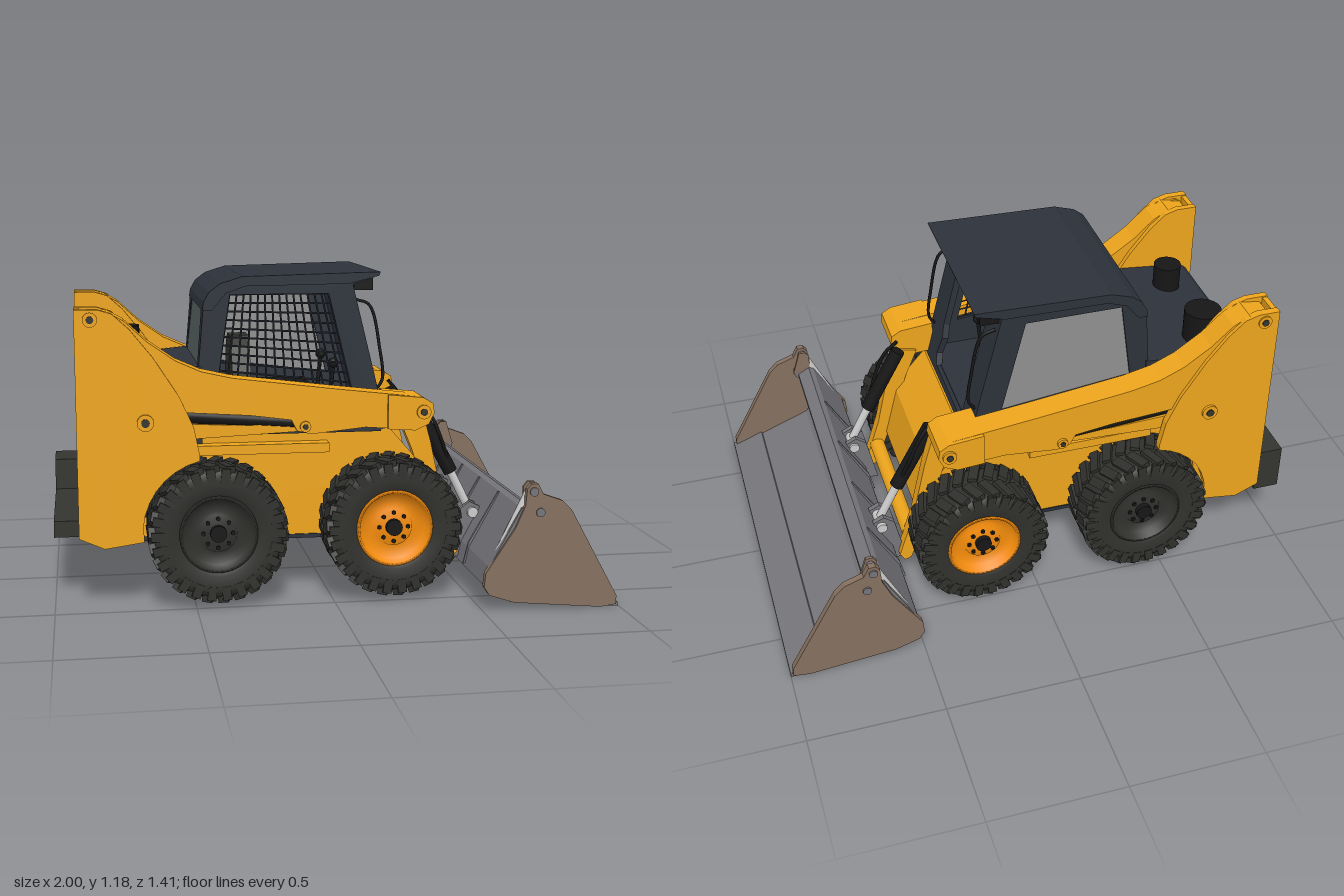
import * as THREE from 'three';
import { mergeGeometries } from 'three/addons/utils/BufferGeometryUtils.js';

const mat = (color) => new THREE.MeshStandardMaterial({ color, side: THREE.DoubleSide });
const yellow = mat(0xeea51c), navy = mat(0x2d323b), black = mat(0x161616), rubber = mat(0x30302d);
const steel = mat(0x76757a), brown = mat(0x85705f), chrome = mat(0xcccccc), orange = mat(0xf48c0c);
const glass = mat(0x56605f), pane = mat(0x909090), red = mat(0xa01c24), charcoal = mat(0x34342f);
const V = (x, y, z) => new THREE.Vector3(x, y, z);

export function createModel() {
  const root = new THREE.Group();
  const add = (name, geo, m, parent = root) => {
    const mesh = new THREE.Mesh(geo, m);
    mesh.name = name;
    parent.add(mesh);
    return mesh;
  };
  const poly = (pts, hole) => {
    const s = new THREE.Shape(pts.map((p) => new THREE.Vector2(...p)));
    if (hole) s.holes.push(new THREE.Path(hole.map((p) => new THREE.Vector2(...p))));
    return s;
  };
  // Side outline (x, y) extruded from z0 to z1
  const slab = (pts, z0, z1, hole) =>
    new THREE.ExtrudeGeometry(poly(pts, hole), { depth: z1 - z0, bevelEnabled: false }).translate(0, 0, z0);
  const box = (x0, x1, y0, y1, z0, z1) =>
    new THREE.BoxGeometry(x1 - x0, y1 - y0, z1 - z0).translate((x0 + x1) / 2, (y0 + y1) / 2, (z0 + z1) / 2);
  // Round bar between two points
  const rod = (a, b, r, sides = 16) => {
    const d = b.clone().sub(a);
    const g = new THREE.CylinderGeometry(r, r, d.length(), sides);
    g.applyQuaternion(new THREE.Quaternion().setFromUnitVectors(V(0, 1, 0), d.normalize()));
    return g.translate((a.x + b.x) / 2, (a.y + b.y) / 2, (a.z + b.z) / 2);
  };
  const span = (s, a, b) => [Math.min(s * a, s * b), Math.max(s * a, s * b)];

  // Chassis
  add('body', slab([[-0.86, 0.24], [-0.6, 0.21], [0.36, 0.21], [0.41, 0.26], [0.36, 0.46], [0.23, 0.61], [-0.86, 0.61]], -0.315, 0.315), yellow);
  add('bellyPlate', slab([[-0.88, 0.24], [-0.6, 0.2], [0.36, 0.2], [0.36, 0.215], [-0.6, 0.215], [-0.88, 0.26]], -0.32, 0.32), navy);
  add('cabSill', box(-0.5, 0.2, 0.595, 0.635, -0.325, 0.325), navy);
  add('frontCrossMember', rod(V(0.45, 0.2, -0.28), V(0.45, 0.2, 0.28), 0.03), yellow);

  // Engine bay, grille and rear lights
  add('engineHood', slab([[-0.885, 0.3], [-0.885, 0.79], [-0.86, 0.81], [-0.46, 0.85], [-0.46, 0.3]], -0.325, 0.325), navy);
  add('grillePanel', box(-0.895, -0.88, 0.36, 0.67, -0.27, 0.27), black);
  for (let i = 0; i < 7; i++) add('grilleLouvre', box(-0.908, -0.89, 0.38 + i * 0.042, 0.395 + i * 0.042, -0.26, 0.26), navy);
  for (const s of [-1, 1]) {
    add('tailLight', box(-0.9, -0.88, 0.705, 0.755, ...span(s, 0.22, 0.29)), red);
    add('reverseLight', box(-0.9, -0.88, 0.705, 0.755, ...span(s, 0.13, 0.2)), chrome);
  }
  add('airCleaner', rod(V(-0.73, 0.8, -0.2), V(-0.73, 0.95, -0.2), 0.07, 24), black);
  add('exhaustStack', rod(V(-0.74, 0.8, 0.18), V(-0.74, 0.92, 0.18), 0.053, 24), black);
  add('rearBumper', box(-1, -0.82, 0.23, 0.29, -0.3, 0.3), charcoal);
  add('bumperBlock', slab([[-1, 0.23], [-0.9, 0.23], [-0.9, 0.41], [-1, 0.41]], -0.455, -0.27), charcoal);

  // Wheels
  const tyreProfile = [[0.135, -0.085], [0.15, -0.095], [0.2, -0.1], [0.226, -0.09], [0.236, -0.07], [0.236, 0.07], [0.226, 0.09], [0.2, 0.1], [0.15, 0.095], [0.135, 0.085]];
  const rimProfile = [[0.0, -0.08], [0.136, -0.08], [0.14, 0.09], [0.128, 0.09], [0.118, 0.06], [0.075, 0.045], [0.068, 0.065], [0, 0.065]];
  const lathe = (p) => new THREE.LatheGeometry(p.map((q) => new THREE.Vector2(...q)), 48).rotateX(Math.PI / 2);
  const treads = [];
  for (let i = 0; i < 26; i++) for (const s of [-1, 1]) {
    const a = ((i + (s > 0 ? 0.5 : 0)) / 26) * Math.PI * 2;
    treads.push(new THREE.BoxGeometry(0.036, 0.026, 0.088).rotateY(s * 0.4).translate(0, 0.236, s * 0.05).rotateZ(a));
    treads.push(new THREE.BoxGeometry(0.032, 0.05, 0.012).translate(0, 0.215, s * 0.095).rotateZ(a));
  }
  const treadGeo = mergeGeometries(treads), tyreGeo = lathe(tyreProfile), rimGeo = lathe(rimProfile);
  for (const s of [-1, 1]) for (const [x, name, rimMat] of [[-0.42, 'rearWheel', rubber], [0.217, 'frontWheel', orange]]) {
    const w = new THREE.Group();
    w.name = name;
    w.position.set(x, 0.27, s * 0.42);
    if (s < 0) w.rotation.y = Math.PI;
    add('tyre', tyreGeo, rubber, w);
    add('tread', treadGeo, rubber, w);
    add('rim', rimGeo, rimMat, w);
    add('hub', rod(V(0, 0, 0.05), V(0, 0, 0.085), 0.03), black, w);
    for (let i = 0; i < 8; i++) {
      const a = (i / 8) * Math.PI * 2, cx = Math.cos(a) * 0.053, cy = Math.sin(a) * 0.053;
      add('wheelNut', rod(V(cx, cy, 0.05), V(cx, cy, 0.073), 0.008, 6), black, w);
    }
    add('axle', rod(V(0, 0, -0.13), V(0, 0, 0), 0.07), black, w);
    root.add(w);
  }

  // Towers, lift arms and hydraulics, mirrored on both sides
  const arch = [];
  for (let i = 0; i <= 8; i++) {
    const a = THREE.MathUtils.degToRad(103 + i * 10.5);
    arch.push([-0.42 + 0.265 * Math.cos(a), 0.27 + 0.265 * Math.sin(a)]);
  }
  const tower = [[-0.91, 0.26], [-0.91, 1.07], [-0.83, 1.07], [-0.78, 1.055], [-0.72, 1.0], [-0.64, 0.9], [-0.55, 0.76], [-0.5, 0.65], [-0.48, 0.55], ...arch, [-0.68, 0.24], [-0.82, 0.22]];
  const arm = [[-0.88, 1.05], [-0.8, 1.062], [-0.74, 1.03], [-0.66, 0.955], [-0.56, 0.885], [-0.47, 0.845], [-0.36, 0.82], [0, 0.775], [0.33, 0.737], [0.365, 0.715], [0.37, 0.68], [0.35, 0.64], [0.3, 0.618], [0.12, 0.632], [-0.08, 0.612], [-0.13, 0.625], [-0.15, 0.665], [-0.3, 0.685], [-0.52, 0.7], [-0.66, 0.78], [-0.86, 0.98]];
  for (const s of [-1, 1]) {
    add('tower', slab(tower, ...span(s, 0.43, 0.46)), yellow);
    add('towerInnerPlate', slab(tower, ...span(s, 0.325, 0.35)), yellow);
    add('towerBackPlate', box(-0.91, -0.89, 0.27, 1.065, ...span(s, 0.33, 0.455)), yellow);
    add('liftArm', slab(arm, ...span(s, 0.345, 0.445)), yellow);
    add('armNose', slab([[0.2, 0.75], [0.33, 0.737], [0.365, 0.715], [0.37, 0.68], [0.35, 0.64], [0.3, 0.618], [0.2, 0.625]], ...span(s, 0.285, 0.46)), yellow);
    add('lowerLink', slab([[-0.52, 0.6], [-0.52, 0.655], [-0.3, 0.645], [-0.1, 0.65], [-0.09, 0.62], [-0.3, 0.61]], ...span(s, 0.36, 0.42)), yellow);
    add('liftCylinder', rod(V(-0.56, 0.685, s * 0.4), V(-0.12, 0.65, s * 0.4), 0.026), black);
    add('sideLedge', box(-0.48, 0.0, 0.53, 0.565, ...span(s, 0.3, 0.37)), yellow);
    add('armLeg', slab([[0.27, 0.64], [0.36, 0.66], [0.39, 0.55], [0.44, 0.32], [0.5, 0.13], [0.48, 0.1], [0.455, 0.11], [0.38, 0.32], [0.32, 0.52]], ...span(s, 0.275, 0.32)), yellow);
    for (const [x, y, r, z] of [[-0.855, 1.035, 0.026, 0.465], [-0.67, 0.67, 0.03, 0.47], [-0.1, 0.64, 0.02, 0.455], [0.33, 0.685, 0.026, 0.47]]) {
      add('pivotPin', rod(V(x, y, s * 0.42), V(x, y, s * z), r), yellow);
      add('pinCap', rod(V(x, y, s * z), V(x, y, s * (z + 0.004)), r * 0.5), charcoal);
    }
    // Tilt cylinder and bucket coupler
    add('tiltCylinder', rod(V(0.35, 0.67, s * 0.25), V(0.485, 0.42, s * 0.25), 0.027), black);
    add('tiltRod', rod(V(0.485, 0.42, s * 0.25), V(0.56, 0.27, s * 0.25), 0.016), chrome);
    add('tiltHose', new THREE.TubeGeometry(new THREE.CatmullRomCurve3([V(0.35, 0.7, s * 0.27), V(0.4, 0.64, s * 0.285), V(0.44, 0.55, s * 0.285), V(0.48, 0.44, s * 0.26)]), 16, 0.007, 6), black);
    for (const z of [0.21, 0.285])
      add('couplerPlate', slab([[0.47, 0.1], [0.51, 0.28], [0.55, 0.31], [0.59, 0.29], [0.6, 0.24], [0.53, 0.1]], ...span(s, z - 0.01, z + 0.01)), steel);
    add('couplerPin', rod(V(0.56, 0.27, s * 0.19), V(0.56, 0.27, s * 0.31), 0.02), chrome);
  }

  // Bucket
  add('bucketShell', slab([[0.99, 0], [0.995, 0.015], [0.87, 0.055], [0.68, 0.13], [0.645, 0.17], [0.65, 0.26], [0.7, 0.335], [0.7, 0.355], [0.655, 0.38], [0.635, 0.37], [0.52, 0.16], [0.505, 0.09], [0.6, 0.03]], -0.69, 0.69), steel);
  add('cuttingEdge', slab([[1, 0], [1, 0.012], [0.88, 0.06], [0.87, 0.045], [0.9, 0.005]], -0.695, 0.695), steel);
  const side = [[0.65, 0.44], [0.665, 0.458], [0.69, 0.458], [0.71, 0.42], [0.78, 0.395], [0.815, 0.36], [0.99, 0.04], [0.99, 0.008], [0.93, 0], [0.61, 0.03], [0.52, 0.06], [0.5, 0.09], [0.505, 0.14], [0.61, 0.3], [0.645, 0.38]];
  for (const s of [-1, 1]) {
    add('bucketSide', slab(side, ...span(s, 0.675, 0.7)), brown);
    add('bucketEar', slab([[0.65, 0.36], [0.65, 0.44], [0.665, 0.458], [0.69, 0.458], [0.72, 0.36]], ...span(s, 0.64, 0.652)), brown);
    add('bucketCylinder', rod(V(0.675, 0.43, s * 0.663), V(0.56, 0.19, s * 0.663), 0.02), chrome);
    for (const [x, y] of [[0.675, 0.43], [0.7, 0.355]]) add('bucketPin', rod(V(x, y, s * 0.64), V(x, y, s * 0.706), 0.016), steel);
  }
  for (const z of [-0.4, -0.13, 0.13, 0.4]) add('bucketRib', slab([[0.5, 0.1], [0.52, 0.18], [0.63, 0.37], [0.66, 0.36], [0.55, 0.12]], z - 0.006, z + 0.006), steel);

  // Cab shell
  const win = [[-0.355, 1.105], [0.005, 1.105], [0.095, 0.74], [-0.4, 0.8]];
  const wall = [[-0.47, 0.61], [-0.48, 0.74], [-0.45, 1.07], [-0.39, 1.14], [-0.31, 1.165], [0.08, 1.165], [0.215, 0.61]];
  for (const s of [-1, 1]) add('cabSide', slab(wall, ...span(s, 0.295, 0.32), win), navy);
  add('cabRoof', slab([[-0.455, 1.05], [-0.45, 1.08], [-0.43, 1.115], [-0.39, 1.145], [-0.31, 1.17], [0.195, 1.182], [0.19, 1.168], [0.08, 1.14], [-0.3, 1.135], [-0.37, 1.11], [-0.42, 1.05]], -0.325, 0.325), navy);
  // Wall across the cab with a cut-out; outline is (z, height)
  const crossWall = (name, h, hole, x, y, lean) => {
    const g = new THREE.ExtrudeGeometry(poly([[-0.32, 0], [0.32, 0], [0.32, h], [-0.32, h]], hole), { depth: 0.025, bevelEnabled: false });
    add(name, g.rotateY(Math.PI / 2).rotateZ(lean).translate(x, y, 0), navy);
  };
  crossWall('cabFront', 0.56, [[-0.16, 0.03], [0.15, 0.03], [0.19, 0.07], [0.19, 0.43], [0.13, 0.495], [-0.13, 0.495], [-0.19, 0.43], [-0.19, 0.2], [-0.17, 0.15], [-0.19, 0.07]], 0.2, 0.6, 0.24);
  crossWall('cabRear', 0.34, [[-0.26, 0.1], [0.26, 0.1], [0.23, 0.31], [-0.23, 0.31]], -0.48, 0.74, -0.09);
  add('rearWindow', slab([[-0.472, 0.82], [-0.465, 0.82], [-0.44, 1.06], [-0.447, 1.06]], -0.27, 0.27), glass);
  add('sideWindow', slab(win, -0.313, -0.305), pane);
  for (const s of [-1, 1]) add('workLight', box(0.1, 0.17, 1.115, 1.17, ...span(s, 0.235, 0.305)), black);
  add('roofVisor', slab([[0.06, 1.1], [0.08, 1.17], [0.19, 1.178], [0.17, 1.16], [0.1, 1.14]], -0.32, 0.32), navy);
  for (const s of [-1, 1]) add('grabRail', new THREE.TubeGeometry(new THREE.CatmullRomCurve3([V(0.11, 1.08, s * 0.29), V(0.16, 1.06, s * 0.29), V(0.2, 0.9, s * 0.29), V(0.21, 0.78, s * 0.29), V(0.18, 0.74, s * 0.29)]), 24, 0.006, 6), black);

  // Side window guard
  const at = (a, b, t) => V(a[0] + (b[0] - a[0]) * t, a[1] + (b[1] - a[1]) * t, 0.308);
  const bars = [];
  for (let i = 0; i <= 14; i++) bars.push(rod(at(win[0], win[1], i / 14), at(win[3], win[2], i / 14), 0.0035, 4));
  for (let i = 0; i <= 10; i++) bars.push(rod(at(win[0], win[3], i / 10), at(win[1], win[2], i / 10), 0.0035, 4));
  add('windowGuard', mergeGeometries(bars), navy);

  // Seat and controls
  add('seatBase', box(-0.3, -0.02, 0.62, 0.74, -0.15, 0.15), black);
  const back = poly([[-0.15, 0.72], [0.15, 0.72], [0.14, 0.8], [0.1, 0.89], [0.05, 0.93], [-0.05, 0.93], [-0.1, 0.89], [-0.14, 0.8]]);
  add('seatBack', new THREE.ExtrudeGeometry(back, { depth: 0.07, bevelEnabled: false }).rotateY(Math.PI / 2).translate(-0.33, 0, 0), charcoal);
  for (const s of [-1, 1]) {
    add('controlLever', rod(V(0.03, 0.62, s * 0.15), V(0.05, 0.82, s * 0.15), 0.008, 8), black);
    add('leverKnob', new THREE.SphereGeometry(0.02, 12, 8).translate(0.05, 0.83, s * 0.15), black);
  }
  return root;
}
